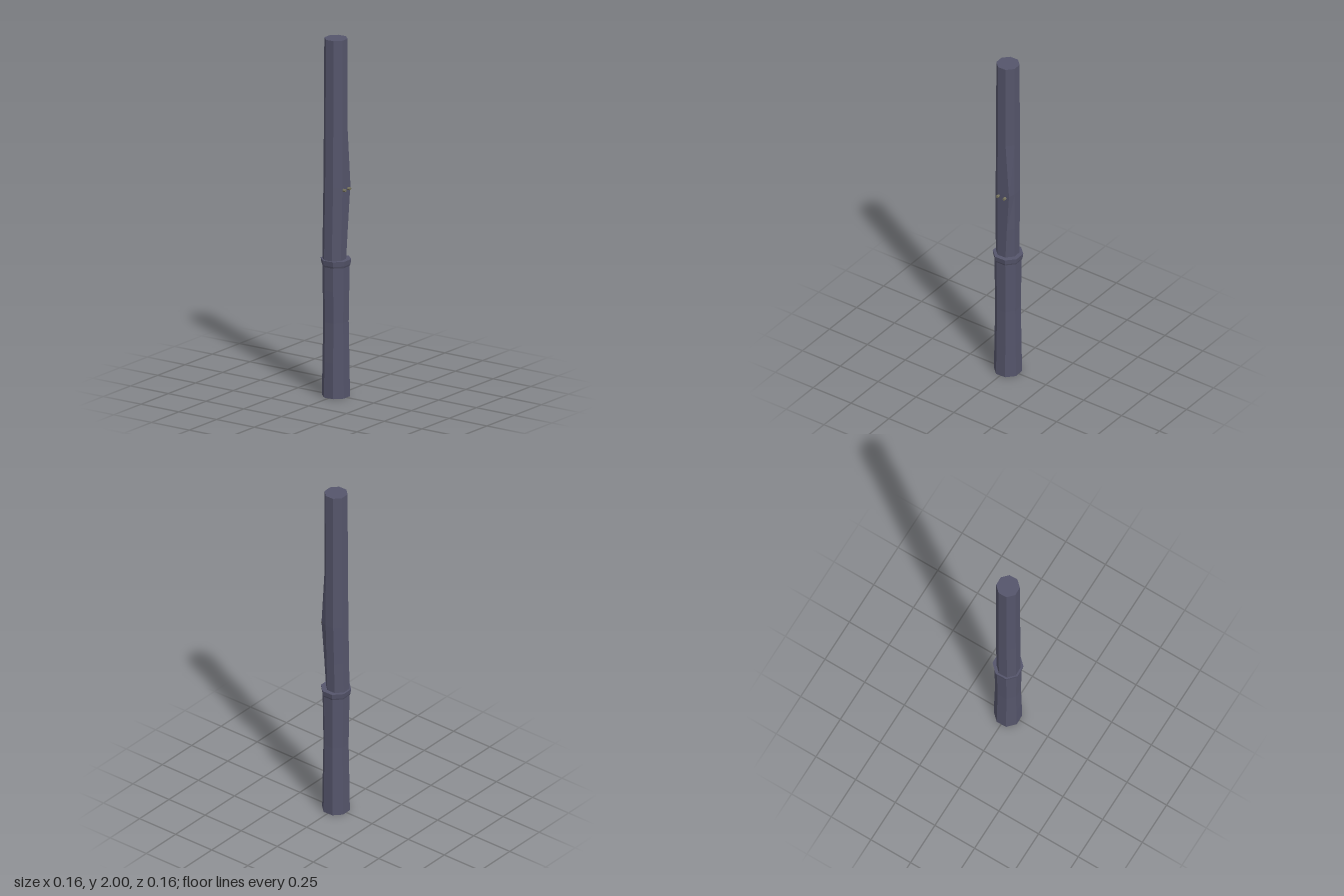
import * as THREE from 'three';

const SIDES = 8;
const TURN = THREE.MathUtils.degToRad(20.8);

// Capped eight-sided loft; each station is [y, radius, centre x, centre z, bulge]
function loft(name, stations, material) {
  const pos = [], index = [];
  for (const [y, r, cx = 0, cz = 0, bulge = 0] of stations) {
    for (let i = 0; i < SIDES; i++) {
      const a = TURN + (i / SIDES) * Math.PI * 2;
      // the bulge pushes out only the back left corner
      const push = i === SIDES - 1 ? bulge : 0;
      pos.push(cx + r * Math.cos(a), y, cz + r * Math.sin(a) - push);
    }
  }
  for (let s = 0; s < stations.length - 1; s++) {
    for (let i = 0; i < SIDES; i++) {
      const j = (i + 1) % SIDES;
      const a = s * SIDES + i, b = s * SIDES + j;
      index.push(a, a + SIDES, b, b, a + SIDES, b + SIDES);
    }
  }
  const top = (stations.length - 1) * SIDES;
  for (let i = 1; i < SIDES - 1; i++) {
    index.push(0, i, i + 1, top, top + i + 1, top + i);
  }
  const geometry = new THREE.BufferGeometry();
  geometry.setAttribute('position', new THREE.Float32BufferAttribute(pos, 3));
  geometry.setIndex(index);
  const flat = geometry.toNonIndexed();
  flat.computeVertexNormals();
  const mesh = new THREE.Mesh(flat, material);
  mesh.name = name;
  return mesh;
}

export function createModel() {
  const group = new THREE.Group();
  group.name = 'staff';
  const metal = new THREE.MeshStandardMaterial({ color: 0x55556b, flatShading: true });
  const brass = new THREE.MeshStandardMaterial({ color: 0x77745f, flatShading: true });

  // Grip, slightly waisted
  group.add(loft('grip', [
    [0, 0.077], [0.2, 0.074], [0.42, 0.07], [0.6, 0.073], [0.735, 0.075],
  ], metal));

  // Flared collar at the top of the grip
  group.add(loft('collar', [[0.73, 0.076], [0.74, 0.08], [0.768, 0.084]], metal));

  // Shaft, leaning a little at its foot and swollen behind the studs
  group.add(loft('shaft', [
    [0.75, 0.065, -0.007, 0.007, 0],
    [0.95, 0.066, -0.004, 0.005, 0.01],
    [1.18, 0.067, -0.001, 0.002, 0.024],
    [1.5, 0.065, -0.001, 0.001, 0],
    [2, 0.064],
  ], metal));

  // Pair of small studs on the left side
  for (const z of [-0.026, 0.018]) {
    const stud = new THREE.Mesh(new THREE.CylinderGeometry(0.0085, 0.0085, 0.022, 6), brass);
    stud.name = 'stud';
    stud.rotation.z = -Math.PI / 2;
    stud.position.set(0.066, 1.163, z);
    group.add(stud);
  }
  return group;
}
